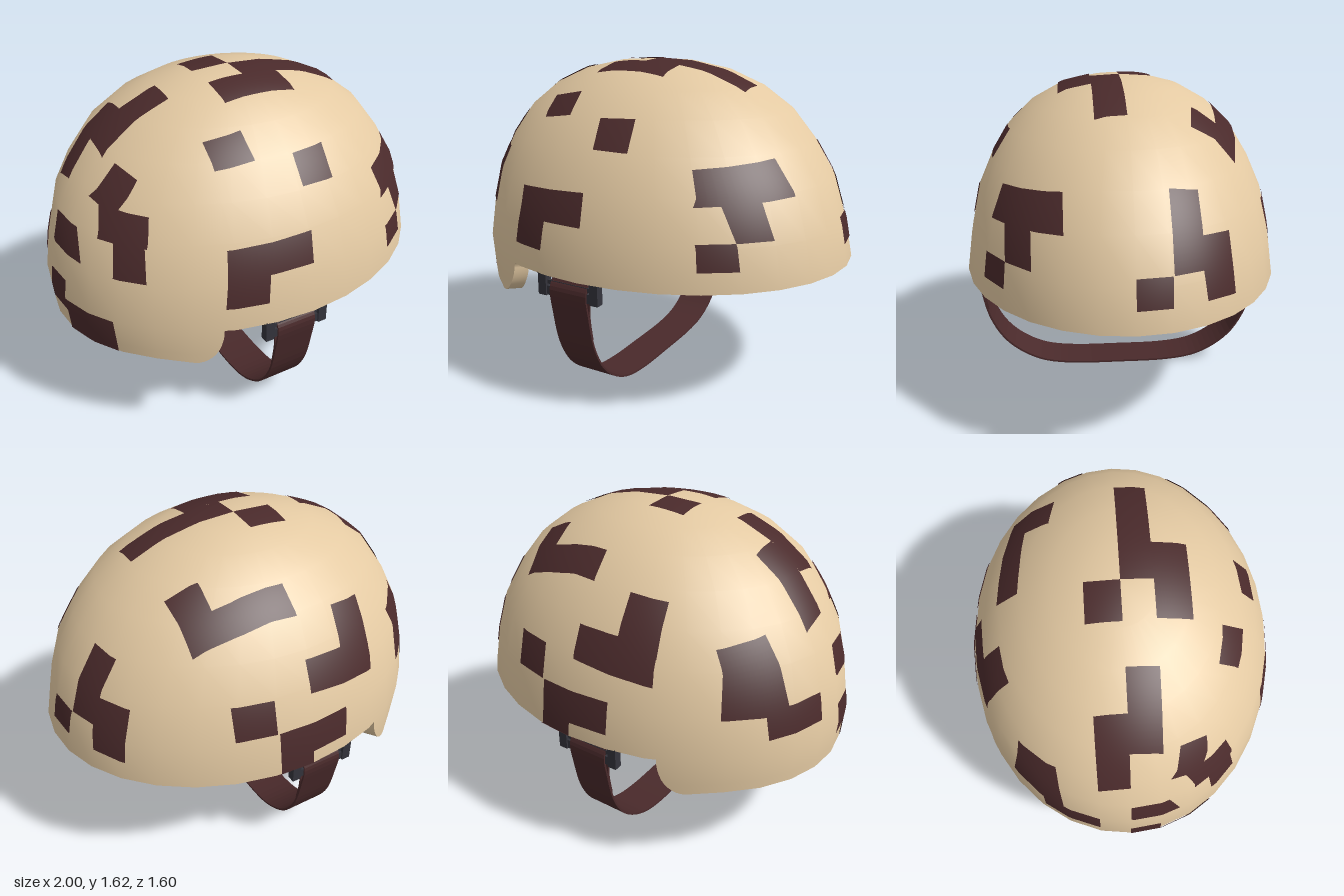
import * as THREE from 'three';

const mat = (name, color, side = THREE.FrontSide) => {
  const m = new THREE.MeshStandardMaterial({ color, side });
  m.name = name;
  return m;
};
const { lerp, clamp } = THREE.MathUtils;

// Dome rings from apex to rim: radius factor and height
const profile = [[0, 1.62], [0.2, 1.61], [0.388, 1.57], [0.557, 1.495], [0.703, 1.385],
  [0.815, 1.24], [0.905, 1.08], [0.965, 0.87], [1, 0.68]];
const RIM = 0.68, GUARD = 0.49;          // heights of the rim and of the neck guard's lower edge
const DEPTH = 0.8;                       // half depth for a half length of 1
const STEP = Math.PI / 16;               // the plan is an oval of 32 sides
const centreX = (f) => -0.035 * (1 - f ** 4);

// Shortening of the radius along the flat sides of the oval
function chord(th) {
  const d = th - Math.floor(th / STEP) * STEP;
  return Math.cos(STEP / 2) / Math.cos(d - STEP / 2);
}

// Radius factor at a given height
function radiusAt(y) {
  if (y <= RIM) return lerp(0.985, 1, (y - GUARD) / (RIM - GUARD));
  const i = profile.findIndex((p) => p[1] <= y);
  if (i < 1) return 0;
  const [fa, ya] = profile[i - 1], [fb, yb] = profile[i];
  return lerp(fb, fa, (y - yb) / (ya - yb));
}

function onDome(th, f, y) {
  const r = f * chord(th);
  return new THREE.Vector3(Math.cos(th) * r + centreX(f), y, DEPTH * Math.sin(th) * r);
}

// Below the rim the guard flares out a little beside the ears
function onGuard(th, y) {
  const ear = Math.max(0, 1 - Math.abs(Math.cos(th) + 0.46) / 0.22);
  return onDome(th, radiusAt(y) + 0.04 * ear * (RIM - y) / (RIM - GUARD), y);
}

const domeNormal = (p) => new THREE.Vector3(p.x, Math.max(0, p.y - 0.52), p.z / 0.64).normalize();

// Maps an outer point to the inside of the shell
const toInner = (p) => new THREE.Vector3(
  p.x * 0.92, p.y > 0.66 ? 0.66 + (p.y - 0.66) * 0.925 : p.y, p.z * 0.908);

// Stitches rows of points into a surface; shade 1 faces out of the dome, -1 into it
function grid(rows, { shade = 0, wrap = false } = {}) {
  const n = rows[0].length, idx = [];
  const points = rows.flat();
  const mid = rows.length >> 1;
  const [a0, b0, c0] = [rows[mid - 1][0], rows[mid - 1][1], rows[mid][0]];
  const face = b0.clone().sub(a0).cross(c0.clone().sub(a0));
  const flip = shade !== 0 && face.dot(domeNormal(a0)) * shade < 0;
  for (let i = 0; i < rows.length - 1; i++) {
    for (let j = 0; j < (wrap ? n : n - 1); j++) {
      const k = (j + 1) % n;
      const a = i * n + j, b = i * n + k, c = a + n, d = b + n;
      if (flip) idx.push(a, c, b, b, c, d);
      else idx.push(a, b, c, b, d, c);
    }
  }
  const g = new THREE.BufferGeometry().setFromPoints(points);
  g.setIndex(idx);
  if (shade) {
    const normals = points.flatMap((p) => domeNormal(p).multiplyScalar(shade).toArray());
    g.setAttribute('normal', new THREE.Float32BufferAttribute(normals, 3));
  } else g.computeVertexNormals();
  return g;
}

// Columns around the dome with the lower edge height of each; the rear drops to a neck guard
function makeColumns() {
  const cols = [], corner = [];
  for (let i = 0; i <= 10; i++) {
    const s = (i / 10) * Math.PI / 2;
    corner.push({ th: Math.acos(-0.56 + 0.125 * Math.cos(s)), low: 0.665 - 0.175 * Math.sin(s) });
  }
  for (let i = -10; i <= 10; i++) cols.push({ th: i * STEP, low: 0.668 + 0.01 * Math.cos(i * STEP) });
  cols.push(...corner);
  for (let i = 12; i <= 20; i++) cols.push({ th: i * STEP, low: GUARD });
  for (const c of corner.reverse()) cols.push({ th: 2 * Math.PI - c.th, low: c.low });
  return cols;
}
const innerLow = (c) => Math.max(GUARD, c.low - 0.008 - 0.02 * Math.max(0, Math.cos(c.th)));

// Point on the dome at a flat position in one of five directions
function project(view, a, b) {
  if (view === 'top') {
    let lo = 0.5, hi = 1.62;
    for (let i = 0; i < 40; i++) {
      const y = (lo + hi) / 2, f = radiusAt(y), x = a - centreX(f), z = b / DEPTH;
      if (Math.hypot(x, z) < f * chord(Math.atan2(z, x))) lo = y; else hi = y;
    }
    return new THREE.Vector3(a, lo, b);
  }
  const f = radiusAt(b), alongX = view === 'front' || view === 'back';
  const u = alongX ? (a - centreX(f)) / f : a / DEPTH / f;
  let th = 0;
  for (let i = 0; i < 10; i++) {
    const v = clamp(u / chord(th), -1, 1);
    th = alongX ? Math.acos(v) : Math.asin(v);
  }
  if (view === 'back') th = -th;
  if (view === 'neg') th = Math.PI - th;
  return onDome(th, f, b);
}

// Camouflage quads: four corners as flat positions (x,y), (z,y) or (x,z)
const box = (a0, b0, a1, b1) => [a0, b0, a1, b0, a1, b1, a0, b1];
const patches = {
  front: [
    [-0.39, 1.05, 0, 1.07, 0, 0.915, -0.4, 0.91], [-0.395, 0.97, -0.21, 0.97, -0.23, 0.775, -0.42, 0.775],
    [-0.37, 1.45, -0.2, 1.48, -0.19, 1.38, -0.365, 1.355], [-0.01, 1.38, 0.16, 1.385, 0.17, 1.245, 0, 1.25],
    [-0.7, 1.35, -0.65, 1.31, -0.765, 1.16, -0.82, 1.2], [-0.8, 1.19, -0.65, 1.18, -0.685, 1.05, -0.84, 1.05],
    [-0.79, 1.07, -0.69, 1.07, -0.71, 0.89, -0.82, 0.89], [-0.93, 1.07, -0.89, 1.06, -0.91, 0.9, -0.955, 0.91],
  ],
  pos: [
    [0.56, 1.19, 0.29, 1.22, 0.29, 1.06, 0.615, 1.04], [0.55, 1.07, 0.43, 1.07, 0.43, 0.89, 0.55, 0.89],
    [0.645, 0.89, 0.55, 0.89, 0.56, 0.77, 0.66, 0.77], [-0.15, 1.24, -0.28, 1.22, -0.3, 0.91, -0.16, 0.91],
    [-0.27, 1.05, -0.42, 1.04, -0.45, 0.77, -0.31, 0.78], box(0, 0.91, -0.155, 0.78),
  ],
  neg: [
    box(0.15, 0.67, 0.42, 0.492), box(0, 0.77, 0.15, 0.6),
    [-0.5, 1.17, -0.33, 1.21, -0.32, 0.86, -0.56, 0.87], [-0.42, 0.89, -0.15, 0.9, -0.15, 0.76, -0.42, 0.75],
  ],
  back: [
    [0, 1.2, -0.38, 1.18, -0.39, 1, 0, 1.05], [-0.2, 1.36, -0.37, 1.34, -0.385, 1.12, -0.2, 1.12],
    box(-0.2, 0.9, 0.17, 0.74), box(0, 0.75, 0.17, 0.672), box(0.18, 1.07, 0.37, 0.9),
  ],
  top: [
    box(-0.02, 0, 0.51, 0.145), box(-0.2, 0.145, 0.165, 0.305), box(-0.21, -0.16, -0.02, 0),
    box(-0.85, -0.145, -0.58, 0), box(-0.73, 0, -0.4, 0.145),
    [-0.01, -0.57, 0.25, -0.545, 0.25, -0.44, 0, -0.46], [0.25, -0.545, 0.465, -0.5, 0.47, -0.41, 0.25, -0.44],
    [0.33, -0.5, 0.465, -0.48, 0.485, -0.285, 0.335, -0.31],
  ],
};

function patchGeometry(view, q, inside) {
  const N = 12, rows = [];
  for (let i = 0; i <= N; i++) {
    const row = [], t = i / N;
    for (let j = 0; j <= N; j++) {
      const s = j / N;
      const p = project(view,
        lerp(lerp(q[0], q[2], s), lerp(q[6], q[4], s), t),
        lerp(lerp(q[1], q[3], s), lerp(q[7], q[5], s), t));
      row.push((inside ? toInner(p) : p.clone()).addScaledVector(domeNormal(p), inside ? -0.007 : 0.005));
    }
    rows.push(row);
  }
  return grid(rows, { shade: inside ? -1 : 1 });
}

// Thin band following (z, y) points, extruded along x
function ribbon(points, x0, x1) {
  const path = new THREE.CatmullRomCurve3(points.map(([z, y]) => new THREE.Vector3(-z, y, 0))).getPoints(60);
  const side = (d) => path.map((p, i) => {
    const t = path[Math.min(60, i + 1)].clone().sub(path[Math.max(0, i - 1)]).normalize();
    return new THREE.Vector2(p.x - t.y * d, p.y + t.x * d);
  });
  const shape = new THREE.Shape([...side(0.005), ...side(-0.005).reverse()]);
  return new THREE.ExtrudeGeometry(shape, { depth: x1 - x0, bevelEnabled: false })
    .rotateY(Math.PI / 2).translate(x0, 0, 0);
}

export function createModel() {
  const group = new THREE.Group();
  const tan = mat('sand', 0xe3c9a2);
  const brown = mat('darkBrown', 0x4a2a2b, THREE.DoubleSide);
  const grey = mat('buckleGrey', 0x34343c);
  const add = (name, geo, material, parent = group) => {
    const m = new THREE.Mesh(geo, material);
    m.name = name;
    parent.add(m);
    return m;
  };

  // Shell: outer skin, inner skin and the rim joining them
  const cols = makeColumns();
  const outer = profile.map(([f, y]) => cols.map((c) => onDome(c.th, f, y)));
  const inner = outer.map((r) => r.map(toInner));
  for (let i = 1; i <= 4; i++) {
    outer.push(cols.map((c) => onGuard(c.th, lerp(RIM, c.low, i / 4))));
    inner.push(cols.map((c) => toInner(onGuard(c.th, lerp(0.675, innerLow(c), i / 4)))));
  }
  add('outerShell', grid(outer, { wrap: true, shade: 1 }), tan);
  add('innerShell', grid(inner, { wrap: true, shade: -1 }), tan);
  add('rim', grid([outer.at(-1), inner.at(-1)], { wrap: true }), tan);

  // Camouflage patches, showing on both skins except on the front end
  const camo = new THREE.Group();
  camo.name = 'camouflage';
  group.add(camo);
  for (const [view, list] of Object.entries(patches)) {
    for (const q of list) {
      add('outerPatch', patchGeometry(view, q, false), brown, camo);
      if (view !== 'pos') add('innerPatch', patchGeometry(view, q, true), brown, camo);
    }
  }
  // Patches running under the rim: angle range and height
  for (const [t0, t1, low] of [[2.59, 2.97, GUARD], [-1.59, -1.38, 0.668]]) {
    const span = [0, 1, 2, 3, 4].map((i) => ({ th: lerp(t0, t1, i / 4), low }));
    const out = span.map((c) => onGuard(c.th, c.low - 0.003));
    const inn = span.map((c) => toInner(onGuard(c.th, innerLow(c) - 0.003)));
    add('rimPatch', grid([out, inn]), brown, camo);
  }

  // Chin strap loop with a folded end on each side
  const half = [[0.768, 0.6], [0.752, 0.48], [0.712, 0.31], [0.64, 0.18], [0.545, 0.095], [0.43, 0.038], [0.28, 0.012]];
  const loop = [[0.745, 0.645], ...half, [0, 0.007], ...half.map(([z, y]) => [-z, y]).reverse(), [-0.745, 0.645]];
  add('chinStrap', ribbon(loop, -0.18, 0.025), brown);

  for (const s of [1, -1]) {
    add('strapEnd', ribbon([[0.745 * s, 0.64], [0.735 * s, 0.58], [0.74 * s, 0.48], [0.722 * s, 0.36]], -0.178, 0.023), brown);
    // Buckle: two posts, their feet and a crossbar
    const buckle = new THREE.Group();
    buckle.name = 'buckle';
    buckle.position.set(-0.078, 0, 0.753 * s);
    group.add(buckle);
    for (const e of [1, -1]) {
      add('post', new THREE.BoxGeometry(0.045, 0.11, 0.04), grey, buckle).position.set(0.146 * e, 0.615, 0);
      add('foot', new THREE.BoxGeometry(0.03, 0.045, 0.025), grey, buckle).position.set(0.115 * e, 0.585, 0);
    }
    add('crossbar', new THREE.BoxGeometry(0.25, 0.02, 0.012), grey, buckle).position.set(0, 0.625, 0);
  }
  return group;
}
